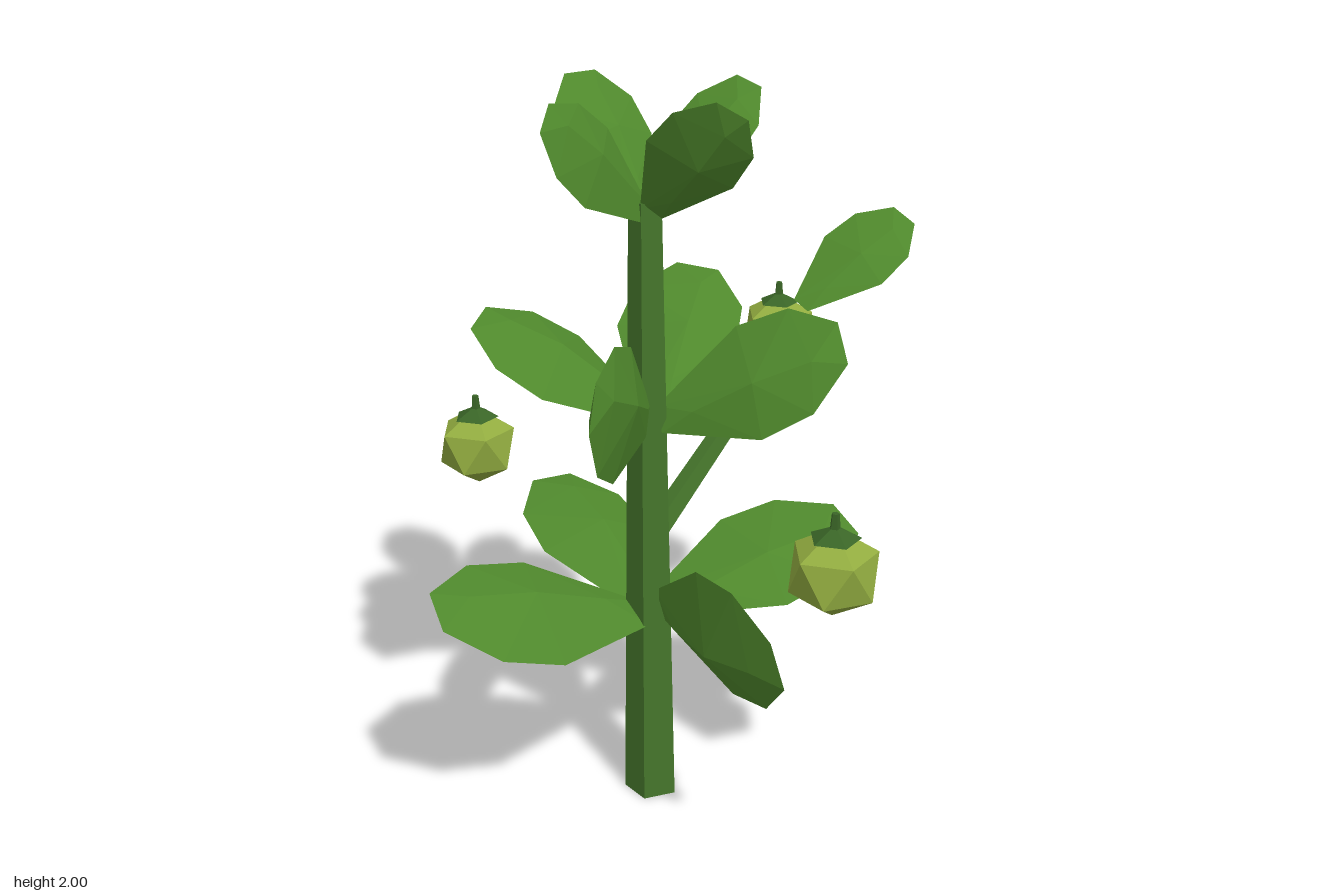
import * as THREE from 'three';
import { ConvexGeometry } from 'three/addons/geometries/ConvexGeometry.js';

const V = (a) => new THREE.Vector3(...a);
const material = (color) => new THREE.MeshStandardMaterial({ color, flatShading: true });

export function createModel() {
  const model = new THREE.Group();
  const green = material(0x4f882c);
  const stemGreen = material(0x45752b);
  const darkGreen = material(0x3a6527);
  const fruitGreen = material(0x92ac40);

  function add(name, geometry, mat, parent = model) {
    const mesh = new THREE.Mesh(geometry, mat);
    mesh.name = name;
    parent.add(mesh);
    return mesh;
  }

  // Tapered five-sided stalk between two points
  function stalk(name, from, to, r0, r1) {
    const a = V(from), d = V(to).sub(a), length = d.length();
    const geometry = new THREE.CylinderGeometry(r1, r0, length, 5);
    geometry.rotateY(Math.PI).translate(0, length / 2, 0);
    const mesh = add(name, geometry, stemGreen);
    mesh.position.copy(a);
    mesh.quaternion.setFromUnitVectors(new THREE.Vector3(0, 1, 0), d.normalize());
  }

  stalk('trunk', [-0.11, 0, -0.006], [-0.11, 1.71, -0.006], 0.077, 0.046);
  stalk('branch', [-0.09, 0.8, -0.01], [0.365, 1.305, -0.13], 0.036, 0.024);

  // Leaf blade of unit length and width: outline plus a raised spine on both faces
  const outline = [[0, 0.12], [0.5, 0.5], [0.78, 0.46], [1, 0.18]];
  const spine = [[0.2, 0.5], [0.55, 1], [0.85, 0.6]];
  const points = [];
  for (const side of [-1, 1]) {
    outline.forEach(([u, v]) => points.push(new THREE.Vector3(side * v, u, 0)));
    spine.forEach(([u, h]) => points.push(new THREE.Vector3(0.08 * side, u, side * h)));
  }
  const blade = new ConvexGeometry(points);

  // Place a blade from base to tip, its width lying along the side direction
  function leaf(name, base, tip, side, width, thickness = 0.135) {
    const y = V(tip).sub(V(base)), length = y.length();
    y.normalize();
    const x = V(side);
    x.addScaledVector(y, -x.dot(y)).normalize();
    const z = x.clone().cross(y);
    const mesh = add(name, blade, green);
    mesh.quaternion.setFromRotationMatrix(new THREE.Matrix4().makeBasis(x, y, z));
    mesh.position.set(...base);
    mesh.scale.set(width, length, width * thickness);
  }

  // Lower tier
  leaf('lowerLeafBack', [-0.11, 0.56, -0.02], [-0.21, 0.72, -0.62], [1, -0.05, -0.1], 0.34);
  leaf('lowerLeafRight', [-0.13, 0.56, 0], [-0.72, 0.72, 0.1], [-0.05, -0.12, 0.33], 0.36);
  leaf('lowerLeafLeft', [-0.09, 0.57, -0.01], [0.5, 0.71, -0.07], [0.1, 0.14, -0.33], 0.37);
  leaf('lowerLeafFront', [-0.095, 0.59, 0.02], [0, 0.7, 0.62], [0.07, -0.32, 0], 0.36, 0.17);

  // Middle tier
  leaf('middleLeafBackRight', [-0.12, 1.13, -0.02], [-0.5, 1.38, -0.22], [0.1, 0.1, -0.3], 0.34);
  leaf('middleLeafFrontRight', [-0.12, 1.13, 0.02], [-0.385, 1.34, 0.4], [0.08, 0.3, -0.1], 0.34);
  leaf('middleLeafFrontLeft', [-0.09, 1.13, 0.02], [0.29, 1.39, 0.31], [0.04, 0.7, -0.72], 0.32);
  leaf('middleLeafBackLeft', [-0.09, 1.13, -0.03], [0.18, 1.39, -0.42], [0.3, -0.05, 0.18], 0.33);

  // Crown
  leaf('crownLeafBack', [-0.12, 1.68, -0.02], [-0.19, 1.98, -0.29], [0.25, 0, -0.06], 0.25);
  leaf('crownLeafLeft', [-0.1, 1.68, -0.01], [0.19, 1.97, -0.08], [-0.05, 0.1, -0.2], 0.23);
  leaf('crownLeafRight', [-0.12, 1.68, 0.01], [-0.4, 1.96, 0.12], [0.44, 0.67, -0.58], 0.23);
  leaf('crownLeafFront', [-0.11, 1.68, 0.02], [0, 1.98, 0.29], [0.2, -0.12, 0.05], 0.24);

  // Branch tip
  leaf('branchLeaf', [0.385, 1.33, -0.165], [0.71, 1.54, -0.21], [-0.05, 0.1, -0.18], 0.23);

  // Hanging fruits of unit radius with a pointed cap and a small stem
  const body = new THREE.IcosahedronGeometry(1, 0);
  body.rotateZ(-Math.atan(2 / (1 + Math.sqrt(5)))).rotateY(-Math.PI / 2);
  function fruit(position, radius) {
    const group = new THREE.Group();
    group.name = 'fruit';
    group.position.set(...position);
    group.scale.setScalar(radius);
    add('fruitBody', body, fruitGreen, group).scale.y = 0.97;
    add('fruitCap', new THREE.ConeGeometry(0.54, 0.28, 5), darkGreen, group).position.y = 0.87;
    add('fruitStem', new THREE.CylinderGeometry(0.08, 0.12, 0.42, 5), darkGreen, group).position.y = 1.06;
    model.add(group);
  }
  fruit([-0.505, 1.0, -0.283], 0.112);
  fruit([0.403, 1.2, -0.36], 0.108);
  fruit([0.287, 0.76, 0.31], 0.132);

  return model;
}
